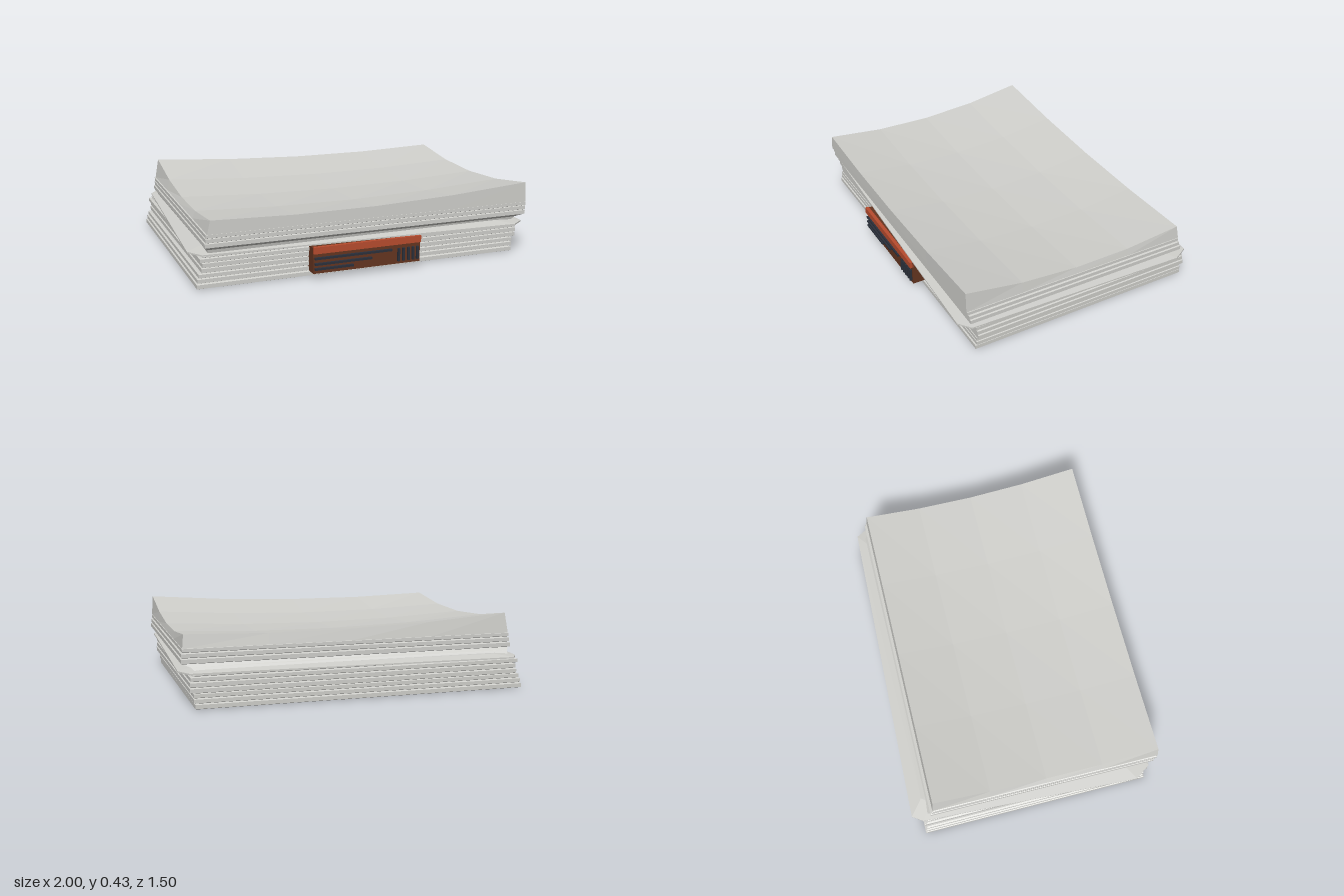
import * as THREE from 'three';

const material = (name, color) => {
  const m = new THREE.MeshStandardMaterial({ color });
  m.name = name;
  return m;
};

// Flat-shaded shell through equal-length rings of [x, y, z], counterclockwise seen from above
function loft(rings) {
  const pos = [];
  const n = rings[0].length;
  const tri = (a, b, c) => pos.push(...a, ...b, ...c);
  for (let r = 0; r < rings.length - 1; r++) {
    for (let i = 0; i < n; i++) {
      const j = (i + 1) % n;
      tri(rings[r][i], rings[r][j], rings[r + 1][j]);
      tri(rings[r][i], rings[r + 1][j], rings[r + 1][i]);
    }
  }
  const bottom = rings[0], top = rings[rings.length - 1];
  for (let i = 1; i < n - 1; i++) {
    tri(bottom[0], bottom[i + 1], bottom[i]);
    tri(top[0], top[i], top[i + 1]);
  }
  const g = new THREE.BufferGeometry();
  g.setAttribute('position', new THREE.Float32BufferAttribute(pos, 3));
  g.computeVertexNormals();
  return g;
}

const rect = (y, x0, x1, z0, z1, inset = 0) => [
  [x0 + inset, y, z1 - inset], [x1 - inset, y, z1 - inset],
  [x1 - inset, y, z0 + inset], [x0 + inset, y, z0 + inset],
];

// Bundles of sheets separated by narrow grooves: [y0, y1, x0, x1, z0, z1]
function bundles(layers) {
  return layers.flatMap(([y0, y1, ...b]) => [
    rect(y0, ...b, 0.01), rect(y0 + 0.004, ...b),
    rect(y1 - 0.004, ...b), rect(y1, ...b, 0.01),
  ]);
}

export function createModel() {
  const paper = material('paper', 0xcfcfcb);
  const brown = material('label brown', 0x653520);
  const orange = material('label orange', 0xb84c2e);
  const navy = material('label ink', 0x2b303b);

  const model = new THREE.Group();
  model.name = 'paperStack';
  const add = (parent, name, geometry, mat) => {
    const mesh = new THREE.Mesh(geometry, mat);
    mesh.name = name;
    parent.add(mesh);
    return mesh;
  };

  // Lower half of the stack
  add(model, 'lowerStack', loft(bundles([
    [0, 0.03, -0.97, 0.925, -0.695, 0.655],
    [0.03, 0.058, -0.965, 0.93, -0.69, 0.65],
    [0.058, 0.085, -0.957, 0.93, -0.685, 0.65],
    [0.085, 0.115, -0.94, 0.95, -0.69, 0.65],
    [0.115, 0.145, -0.937, 0.948, -0.685, 0.655],
    [0.145, 0.172, -0.95, 0.945, -0.68, 0.66],
    [0.172, 0.185, -0.935, 0.935, -0.67, 0.66],
  ])), paper);

  // Skewed sheets with clipped corners sticking out between the halves
  const outline = [
    [-0.94, 0.67], [0.89, 0.745], [0.96, 0.69], [1, -0.6],
    [0.95, -0.69], [-0.89, -0.75], [-0.93, -0.69], [-1, 0.58],
  ];
  const sheetRing = (y, s) => outline.map(([x, z]) => [x * s, y, z * s]);
  add(model, 'skewedSheets', loft([
    sheetRing(0.178, 0.92), sheetRing(0.186, 1), sheetRing(0.194, 1), sheetRing(0.205, 0.9),
  ]), paper);

  // Upper half, flaring outward from the skewed sheets
  const upper = new THREE.Group();
  upper.name = 'upperHalf';
  upper.rotation.y = -0.007;
  model.add(upper);
  add(upper, 'upperStack', loft([
    rect(0.195, -0.9, 0.91, -0.655, 0.66),
    rect(0.215, -0.905, 0.93, -0.635, 0.665),
    ...bundles([
      [0.232, 0.262, -0.925, 0.98, -0.635, 0.7],
      [0.262, 0.29, -0.922, 0.977, -0.625, 0.705],
      [0.29, 0.316, -0.922, 0.972, -0.618, 0.715],
    ]),
  ]), paper);

  // Curled top bundle: a block whose upper face is bent into a dish
  const dish = new THREE.BoxGeometry(2, 1, 2, 4, 1, 4);
  const p = dish.attributes.position;
  for (let i = 0; i < p.count; i++) {
    const u = p.getX(i), v = p.getZ(i);
    if (p.getY(i) > 0) {
      const y = 0.318 + 0.032 * u * u + 0.06 * v * v + 0.02 * u * v;
      p.setXYZ(i, 0.032 + 0.93 * u, y, 0.055 + 0.663 * v);
    } else {
      p.setXYZ(i, 0.027 + 0.943 * u, 0.314, 0.05 + 0.669 * v);
    }
  }
  const flatDish = dish.toNonIndexed();
  flatDish.computeVertexNormals();
  add(upper, 'curledTop', flatDish, paper);

  // Tag on the front edge
  const label = new THREE.Group();
  label.name = 'frontLabel';
  model.add(label);
  const block = (name, x0, x1, y0, y1, z0, z1, mat) => {
    const mesh = add(label, name, new THREE.BoxGeometry(x1 - x0, y1 - y0, z1 - z0), mat);
    mesh.position.set((x0 + x1) / 2, (y0 + y1) / 2, (z0 + z1) / 2);
  };
  block('labelBody', -0.342, 0.295, 0.033, 0.18, 0.64, 0.721, brown);
  block('labelStripe', -0.342, 0.295, 0.148, 0.186, 0.715, 0.736, orange);

  // Printed lines and bars
  [[0.12, 0.12], [0, 0.088], [-0.11, 0.06]].forEach(([end, y], i) =>
    block(`printedLine${i + 1}`, -0.335, end, y - 0.006, y + 0.006, 0.72, 0.735, navy));
  [0.162, 0.192, 0.222, 0.25, 0.277].forEach((x, i) =>
    block(`printedBar${i + 1}`, x - 0.006, x + 0.006, 0.05, 0.124, 0.72, 0.735, navy));

  return model;
}
